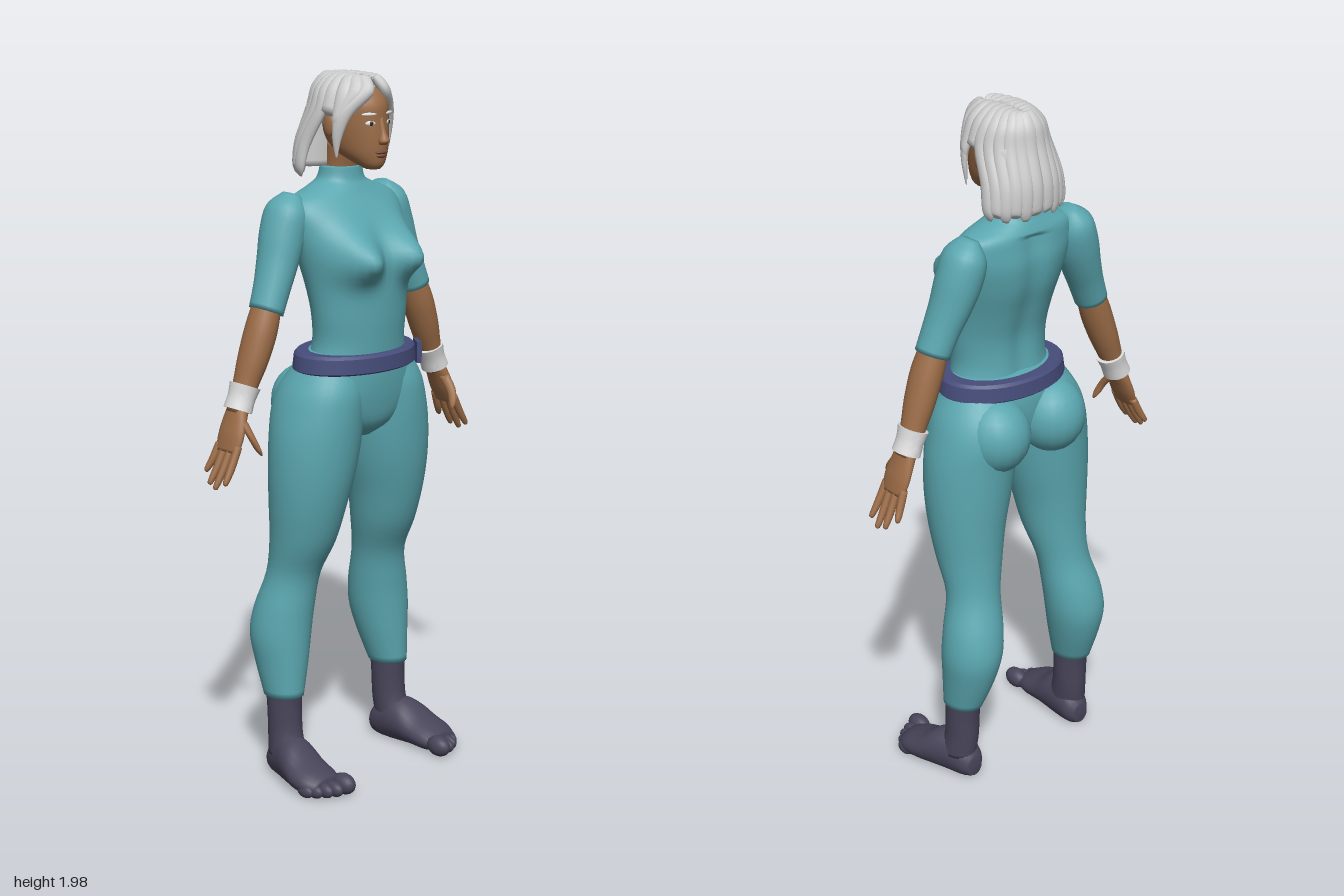
import * as THREE from 'three';
import { toCreasedNormals } from 'three/addons/utils/BufferGeometryUtils.js';

const X = new THREE.Vector3(1, 0, 0), Y = new THREE.Vector3(0, 1, 0), Z = new THREE.Vector3(0, 0, 1);
const ARM = new THREE.Vector3(0.92, 0.38, 0);

// Closed loft through elliptical sections [x, y, z, ru, rv] lying in the u-v plane
function loft(rows, { u = X, v = Z, n = 24, sub = 4, rule = null } = {}) {
  const rings = [];
  const at = i => rows[Math.min(Math.max(i, 0), rows.length - 1)];
  for (let i = 0; i < rows.length - 1; i++) {
    for (let s = 0; s < sub; s++) {
      const t = s / sub;
      rings.push(rows[i].map((b, k) => {
        const a = at(i - 1)[k], c = at(i + 1)[k], d = at(i + 2)[k];
        return b + 0.5 * t * (c - a + t * (2 * a - 5 * b + 4 * c - d + t * (3 * (b - c) + d - a)));
      }));
    }
  }
  rings.push(rows[rows.length - 1]);
  const pos = [], idx = [], p = new THREE.Vector3();
  for (const [x, y, z, ru, rv] of rings) {
    for (let j = 0; j < n; j++) {
      const a = (j / n) * Math.PI * 2;
      p.set(x, y, z).addScaledVector(u, Math.max(ru, 0.001) * Math.cos(a)).addScaledVector(v, Math.max(rv, 0.001) * Math.sin(a));
      if (rule) rule(p);
      pos.push(p.x, p.y, p.z);
    }
  }
  const first = rings[0], last = rings[rings.length - 1], m = rings.length;
  pos.push(...first.slice(0, 3), ...last.slice(0, 3));
  const axis = new THREE.Vector3(last[0] - first[0], last[1] - first[1], last[2] - first[2]);
  const flip = new THREE.Vector3().crossVectors(u, v).dot(axis) < 0;
  const tri = (a, b, c) => (flip ? idx.push(a, c, b) : idx.push(a, b, c));
  for (let j = 0; j < n; j++) {
    const k = (j + 1) % n;
    for (let i = 0; i < m - 1; i++) {
      const a = i * n + j, b = i * n + k;
      tri(a, b, b + n);
      tri(a, b + n, a + n);
    }
    tri(m * n, k, j);
    tri(m * n + 1, (m - 1) * n + j, (m - 1) * n + k);
  }
  const g = new THREE.BufferGeometry();
  g.setAttribute('position', new THREE.Float32BufferAttribute(pos, 3));
  g.setIndex(idx);
  g.computeVertexNormals();
  return g;
}

// Upright section from height, inner and outer x, front and back z
const span = (y, x0, x1, zf, zb) => [(x0 + x1) / 2, y, (zf + zb) / 2, (x1 - x0) / 2, (zf - zb) / 2];
const sym = (y, r, zf, zb) => span(y, -r, r, zf, zb);
const ball = (x, y, z, rx, ry, rz, turn = 0) =>
  new THREE.SphereGeometry(1, 20, 14).scale(rx, ry, rz).rotateY(turn).translate(x, y, z);

function mirrored(geo) {
  const g = geo.index ? geo.toNonIndexed() : geo.clone();
  for (const name of ['position', 'normal']) {
    const a = g.attributes[name];
    for (let i = 0; i < a.count; i++) a.setX(i, -a.getX(i));
    for (let i = 0; i < a.count; i += 3) {
      const t = [a.getX(i), a.getY(i), a.getZ(i)];
      a.setXYZ(i, a.getX(i + 1), a.getY(i + 1), a.getZ(i + 1));
      a.setXYZ(i + 1, ...t);
    }
  }
  return g;
}

export function createModel() {
  const model = new THREE.Group();
  model.name = 'standingWoman';
  const paint = (name, color) => Object.assign(new THREE.MeshStandardMaterial({ color }), { name });
  const suit = paint('tealSuit', 0x5ba7b0), skin = paint('skin', 0x9b6c47), hair = paint('silverHair', 0xcccccc);
  const beltBlue = paint('beltBlue', 0x474d7c), sock = paint('darkSock', 0x48455a), white = paint('white', 0xdcdcdc);
  const lip = paint('lip', 0x7d4b3a), dark = paint('iris', 0x33271f);
  const add = (name, geo, mat) => {
    const mesh = new THREE.Mesh(geo, mat);
    mesh.name = name;
    model.add(mesh);
  };
  const pair = (name, geo, mat) => {
    add(name + 'Left', geo, mat);
    add(name + 'Right', mirrored(geo), mat);
  };

  // Torso with bust and spine shaped by a rule
  const shapeTorso = p => {
    if (p.z > 0) {
      const dy = (p.y - 1.495) / (p.y < 1.495 ? 0.055 : 0.075), dx = (Math.abs(p.x) - 0.088) / 0.058;
      p.z += 0.08 * Math.min(p.z / 0.05, 1) * Math.exp(-dx * dx - dy * dy);
    } else if (p.z < -0.05 && p.y < 1.65) p.z += 0.014 * Math.exp(-((p.x / 0.035) ** 2));
  };
  add('torso', loft([
    sym(1.19, 0.165, 0.115, -0.1), sym(1.26, 0.145, 0.12, -0.09), sym(1.34, 0.15, 0.125, -0.09),
    sym(1.42, 0.16, 0.125, -0.11), sym(1.5, 0.175, 0.115, -0.135), sym(1.57, 0.188, 0.085, -0.145),
    sym(1.62, 0.192, 0.055, -0.14), sym(1.655, 0.172, 0.03, -0.135), sym(1.68, 0.11, 0.015, -0.125),
    sym(1.7, 0.072, 0.005, -0.115), sym(1.735, 0.062, 0, -0.105),
  ], { n: 56, sub: 5, rule: shapeTorso }), suit);

  // Hips, buttocks and legs
  add('pelvis', loft([
    sym(1.24, 0.15, 0.115, -0.1), sym(1.18, 0.198, 0.118, -0.12), sym(1.1, 0.215, 0.112, -0.12),
    sym(1.03, 0.13, 0.095, -0.1), sym(0.99, 0.04, 0.05, -0.06),
  ], { n: 40 }), suit);
  pair('buttock', ball(0.1, 1.08, -0.085, 0.1, 0.11, 0.106), suit);
  pair('leg', loft([
    span(1.2, 0.01, 0.185, 0.09, -0.1), span(1.14, 0, 0.222, 0.11, -0.14), span(1.08, 0, 0.243, 0.114, -0.155),
    span(1.0, 0.003, 0.26, 0.11, -0.15), span(0.9, 0.02, 0.265, 0.1, -0.145), span(0.8, 0.045, 0.26, 0.08, -0.14),
    span(0.7, 0.065, 0.25, 0.05, -0.14), span(0.6, 0.09, 0.245, 0.003, -0.15), span(0.5, 0.1, 0.27, -0.008, -0.18),
    span(0.42, 0.11, 0.28, -0.01, -0.19), span(0.34, 0.128, 0.272, -0.01, -0.172), span(0.245, 0.155, 0.261, -0.012, -0.136),
  ], { n: 32 }), suit);

  // Belt with a small hip flap
  add('belt', toCreasedNormals(loft([
    sym(1.185, 0.192, 0.132, -0.132), sym(1.19, 0.198, 0.139, -0.138),
    sym(1.23, 0.192, 0.138, -0.135), sym(1.238, 0.184, 0.13, -0.128),
  ], { n: 40, sub: 1 }), 0.6), beltBlue);
  add('beltFlap', new THREE.BoxGeometry(0.06, 0.06, 0.014).rotateY(0.95).translate(0.163, 1.21, 0.085), beltBlue);

  // Socked feet with toes
  pair('ankle', loft([
    span(0.262, 0.161, 0.255, -0.016, -0.13), span(0.2, 0.16, 0.256, -0.02, -0.122),
    span(0.13, 0.162, 0.256, -0.015, -0.12), span(0.07, 0.165, 0.262, 0.01, -0.115),
  ]), sock);
  pair('foot', loft([
    [0.207, 0.04, -0.124, 0.025, 0.03], [0.207, 0.05, -0.1, 0.043, 0.05], [0.214, 0.062, -0.05, 0.054, 0.068],
    [0.224, 0.06, 0, 0.064, 0.064], [0.233, 0.045, 0.05, 0.069, 0.047], [0.235, 0.035, 0.1, 0.066, 0.037],
    [0.23, 0.03, 0.135, 0.05, 0.024],
  ], { v: Y, rule: p => { p.y = Math.max(p.y, 0.004); } }), sock);
  [[0.192, 0.155, 0.026], [0.224, 0.15, 0.018], [0.249, 0.138, 0.017], [0.271, 0.12, 0.016], [0.288, 0.1, 0.015]]
    .forEach(([x, z, r], i) => pair('toe' + (i + 1), ball(x, r + 0.008, z, r, r + 0.004, r + 0.014), sock));

  // Arms, wristbands and hands
  const arm = { u: ARM };
  pair('sleeve', loft([
    [0.168, 1.668, -0.07, 0.02, 0.03], [0.184, 1.625, -0.07, 0.055, 0.064], [0.205, 1.56, -0.068, 0.062, 0.066],
    [0.23, 1.49, -0.062, 0.055, 0.06], [0.255, 1.43, -0.055, 0.049, 0.054], [0.282, 1.365, -0.05, 0.046, 0.05],
  ], arm), suit);
  pair('forearm', loft([
    [0.27, 1.4, -0.053, 0.036, 0.04], [0.3, 1.32, -0.05, 0.043, 0.047], [0.33, 1.24, -0.052, 0.04, 0.045],
    [0.355, 1.175, -0.055, 0.033, 0.037], [0.385, 1.1, -0.057, 0.025, 0.034],
  ], arm), skin);
  pair('wristband', toCreasedNormals(loft([
    [0.355, 1.172, -0.056, 0.042, 0.044], [0.368, 1.14, -0.057, 0.037, 0.04], [0.382, 1.108, -0.057, 0.038, 0.042],
  ], arm), 0.7), white);
  pair('palm', loft([
    [0.378, 1.12, -0.057, 0.024, 0.033], [0.395, 1.08, -0.055, 0.02, 0.043], [0.411, 1.04, -0.053, 0.018, 0.048],
    [0.426, 1.0, -0.052, 0.012, 0.043],
  ], arm), skin);
  [[-0.09, 0.455, 0.94, -0.105], [-0.065, 0.471, 0.914, -0.073], [-0.04, 0.476, 0.906, -0.045], [-0.016, 0.47, 0.922, -0.012]]
    .forEach(([z, x, y, zt], i) => pair('finger' + (i + 1), loft([
      [0.418, 1.02, z, 0.011, 0.012], [(0.42 + x) / 2, (1.01 + y) / 2, (z + zt) / 2, 0.011, 0.011],
      [x - 0.003, y + 0.008, zt, 0.008, 0.008], [x, y, zt, 0.002, 0.002],
    ], { u: ARM, n: 10 }), skin));
  pair('thumb', loft([
    [0.39, 1.085, -0.03, 0.014, 0.018], [0.388, 1.045, 0.004, 0.013, 0.014], [0.378, 1.01, 0.02, 0.01, 0.011],
    [0.372, 0.995, 0.025, 0.003, 0.003],
  ], { u: ARM, n: 10 }), skin);

  // Neck, head and face
  add('neck', loft([sym(1.69, 0.052, -0.01, -0.095), sym(1.74, 0.05, 0, -0.095), sym(1.8, 0.055, 0.02, -0.09)]), skin);
  add('head', loft([
    sym(1.735, 0.02, 0.092, 0.05), sym(1.75, 0.038, 0.103, 0.01), sym(1.78, 0.06, 0.108, -0.06),
    sym(1.82, 0.072, 0.109, -0.1), sym(1.87, 0.079, 0.106, -0.115), sym(1.91, 0.077, 0.103, -0.115),
    sym(1.945, 0.064, 0.078, -0.1), sym(1.968, 0.03, 0.03, -0.06),
  ], { n: 32 }), skin);
  add('nose', loft([
    [0, 1.875, 0.098, 0.008, 0.008], [0, 1.835, 0.108, 0.009, 0.011], [0, 1.812, 0.114, 0.016, 0.016],
    [0, 1.802, 0.108, 0.01, 0.008],
  ], { n: 14 }), skin);
  add('upperLip', ball(0, 1.782, 0.105, 0.022, 0.006, 0.009), lip);
  add('lowerLip', ball(0, 1.773, 0.104, 0.018, 0.007, 0.009), lip);
  pair('ear', ball(0.084, 1.853, -0.01, 0.012, 0.033, 0.02), skin);
  pair('eye', ball(0.033, 1.86, 0.095, 0.015, 0.007, 0.005, 0.4), white);
  pair('iris', ball(0.033, 1.86, 0.0985, 0.006, 0.006, 0.003, 0.4), dark);
  pair('eyebrow', ball(0.036, 1.884, 0.093, 0.022, 0.005, 0.006, 0.4), white);

  // Hair: crown, inner fill and overlapping locks that fall from a centre parting
  add('hairCrown', ball(0, 1.9, -0.022, 0.09, 0.085, 0.113), hair);
  add('hairFill', loft([
    sym(1.735, 0.108, -0.05, -0.155), sym(1.82, 0.1, -0.045, -0.148), sym(1.9, 0.088, -0.04, -0.13),
  ]), hair);
  const angles = [0.5, 0.8, 1.1, 1.45, 1.72, 1.97, 2.22, 2.47, 2.72, 2.98];
  angles.forEach((a, i) => {
    const short = i < 4, m = a + Math.max(0, 0.9 - 0.8 * a);
    const z0 = -0.01 + 0.075 * Math.cos(a);
    const side = new THREE.Vector3(Math.cos(m), 0, -Math.sin(m));
    const out = new THREE.Vector3(Math.sin(m), 1, Math.cos(m)).normalize();
    const rows = [
      [0.004, 1.982 - 2.5 * (z0 + 0.02) ** 2, z0, 0.014, 0.008],
      [0.04 * Math.sin(a), 1.975, -0.015 + 0.082 * Math.cos(a), 0.02, 0.014],
      [0.078 * Math.sin(a), 1.94, -0.015 + 0.108 * Math.cos(a), 0.023, 0.016],
      [0.1 * Math.sin(m), 1.885, -0.015 + 0.12 * Math.cos(m), 0.021, 0.015],
    ];
    if (short) {
      const y = [1.77, 1.79, 1.83, 1.875][i];
      if (i < 3) rows.push([0.098, (1.885 + y) / 2, 0.035, 0.014, 0.012], [0.096, y, 0.03, 0.003, 0.003]);
    } else {
      rows.push([0.115 * Math.sin(m), 1.8, -0.06 + 0.1 * Math.cos(m), 0.021, 0.016],
        [0.123 * Math.sin(m), 1.735, -0.075 + 0.088 * Math.cos(m), 0.018, 0.014],
        [0.12 * Math.sin(m), 1.712 + 0.012 * (i % 2), -0.077 + 0.085 * Math.cos(m), 0.008, 0.006]);
    }
    pair('hairLock' + (i + 1), loft(rows, { u: side, v: out, n: 12 }), hair);
  });
  return model;
}
